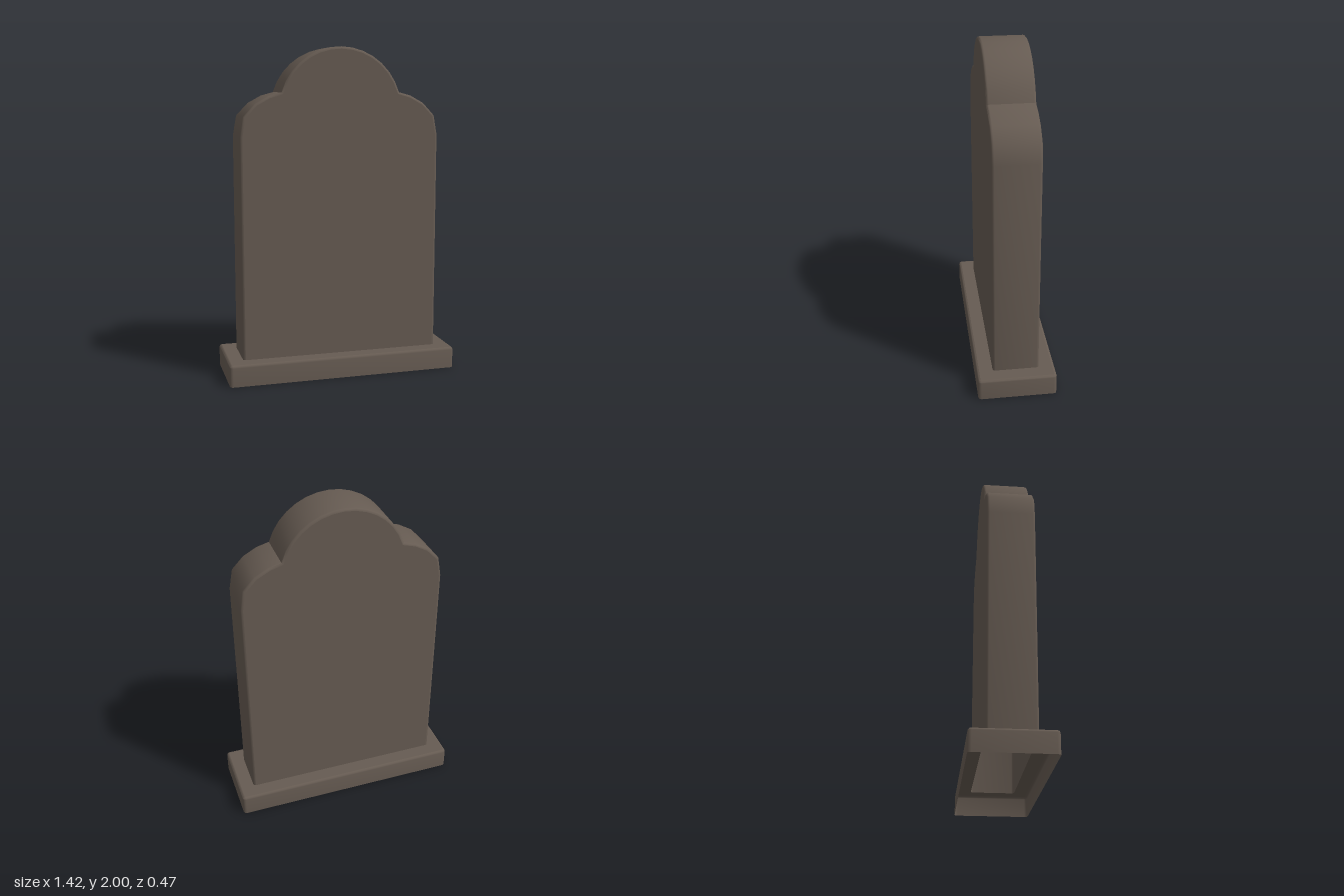
import * as THREE from 'three';
import { toCreasedNormals } from 'three/addons/utils/BufferGeometryUtils.js';

const BEVEL = 0.015;
const BASE_TOP = 0.13;
const HALF_DEPTH = 0.14;
const HALF_WIDTH = 0.615;

// Skin a list of cross-sections that all have the same number of points
function loft(rings, closed) {
  const n = rings[0].length;
  const index = [];
  for (let r = 0; r < rings.length - 1; r++) {
    for (let i = 0; i < (closed ? n : n - 1); i++) {
      const a = r * n + i, b = r * n + ((i + 1) % n);
      index.push(a, b, b + n, a, b + n, a + n);
    }
  }
  const geometry = new THREE.BufferGeometry().setFromPoints(rings.flat());
  geometry.setIndex(index);
  return toCreasedNormals(geometry, 0.75);
}

// Headstone outline: right side, shoulder, dome, then the mirrored half
function stoneOutline() {
  const half = [[HALF_WIDTH, BASE_TOP], [HALF_WIDTH, 1.47], [0.593, 1.59], [0.522, 1.665], [0.44, 1.71]]
    .map(([x, y]) => new THREE.Vector2(x, y));
  const radius = 0.382, start = 0.298, steps = 7;
  for (let i = 0; i < steps; i++) {
    const a = start + (Math.PI / 2 - start) * i / steps;
    half.push(new THREE.Vector2(radius * Math.cos(a), 2 - radius + radius * Math.sin(a)));
  }
  const mirrored = half.map(p => new THREE.Vector2(-p.x, p.y)).reverse();
  return [...half, new THREE.Vector2(0, 2), ...mirrored];
}

// Move an outline inwards, keeping its two feet on the base
function inset(points, d) {
  return points.map((p, i) => {
    if (i === 0 || i === points.length - 1) return new THREE.Vector2(p.x - Math.sign(p.x) * d, p.y);
    const t = points[i + 1].clone().sub(p).normalize().add(p.clone().sub(points[i - 1]).normalize()).normalize();
    return new THREE.Vector2(p.x - t.y * d, p.y + t.x * d);
  });
}

// Horizontal rectangle with rounded corners
function roundedRect(hx, hz, r, y) {
  const ring = [];
  const corners = [[1, -1], [-1, -1], [-1, 1], [1, 1]];
  corners.forEach(([sx, sz], c) => {
    for (let k = 0; k <= 3; k++) {
      const a = (c + k / 3) * Math.PI / 2;
      ring.push(new THREE.Vector3(sx * (hx - r) + r * Math.cos(a), y, sz * (hz - r) - r * Math.sin(a)));
    }
  });
  return ring;
}

export function createModel() {
  const model = new THREE.Group();
  model.name = 'gravestone';
  const stone = new THREE.MeshStandardMaterial({ color: 0x665b52, side: THREE.DoubleSide });
  stone.name = 'weathered stone';
  const add = (name, geometry) => {
    const mesh = new THREE.Mesh(geometry, stone);
    mesh.name = name;
    model.add(mesh);
    return mesh;
  };

  // Headstone rim with rounded front and back edges, open underneath
  const outline = stoneOutline();
  const bevelSteps = [0, 1, 2, 3].map(k => k / 3 * Math.PI / 2);
  const section = (a, side) => inset(outline, BEVEL * (1 - Math.cos(a)))
    .map(p => new THREE.Vector3(p.x, p.y, side * (HALF_DEPTH - BEVEL + BEVEL * Math.sin(a))));
  const backRings = bevelSteps.map(a => section(a, -1)).reverse();
  const frontRings = bevelSteps.map(a => section(a, 1));
  add('headstoneRim', loft([...backRings, ...frontRings], false));

  // Flat front and back faces
  const face = new THREE.ShapeGeometry(new THREE.Shape(inset(outline, BEVEL)));
  add('headstoneFront', face).position.z = HALF_DEPTH;
  const back = add('headstoneBack', face);
  back.position.z = -HALF_DEPTH;
  back.rotation.y = Math.PI;

  // Hollow plinth: walls, rounded upper edge, top surface up to the headstone
  const hx = 0.71, hz = 0.237, r = 0.02;
  const plinth = [roundedRect(hx, hz, r, 0)];
  for (const a of bevelSteps) {
    const d = BEVEL * (1 - Math.cos(a));
    plinth.push(roundedRect(hx - d, hz - d, r - d, BASE_TOP - BEVEL + BEVEL * Math.sin(a)));
  }
  add('plinthWalls', loft(plinth, true));
  add('plinthTop', loft([plinth.at(-1), roundedRect(HALF_WIDTH, HALF_DEPTH, BEVEL, BASE_TOP)], true));
  return model;
}
